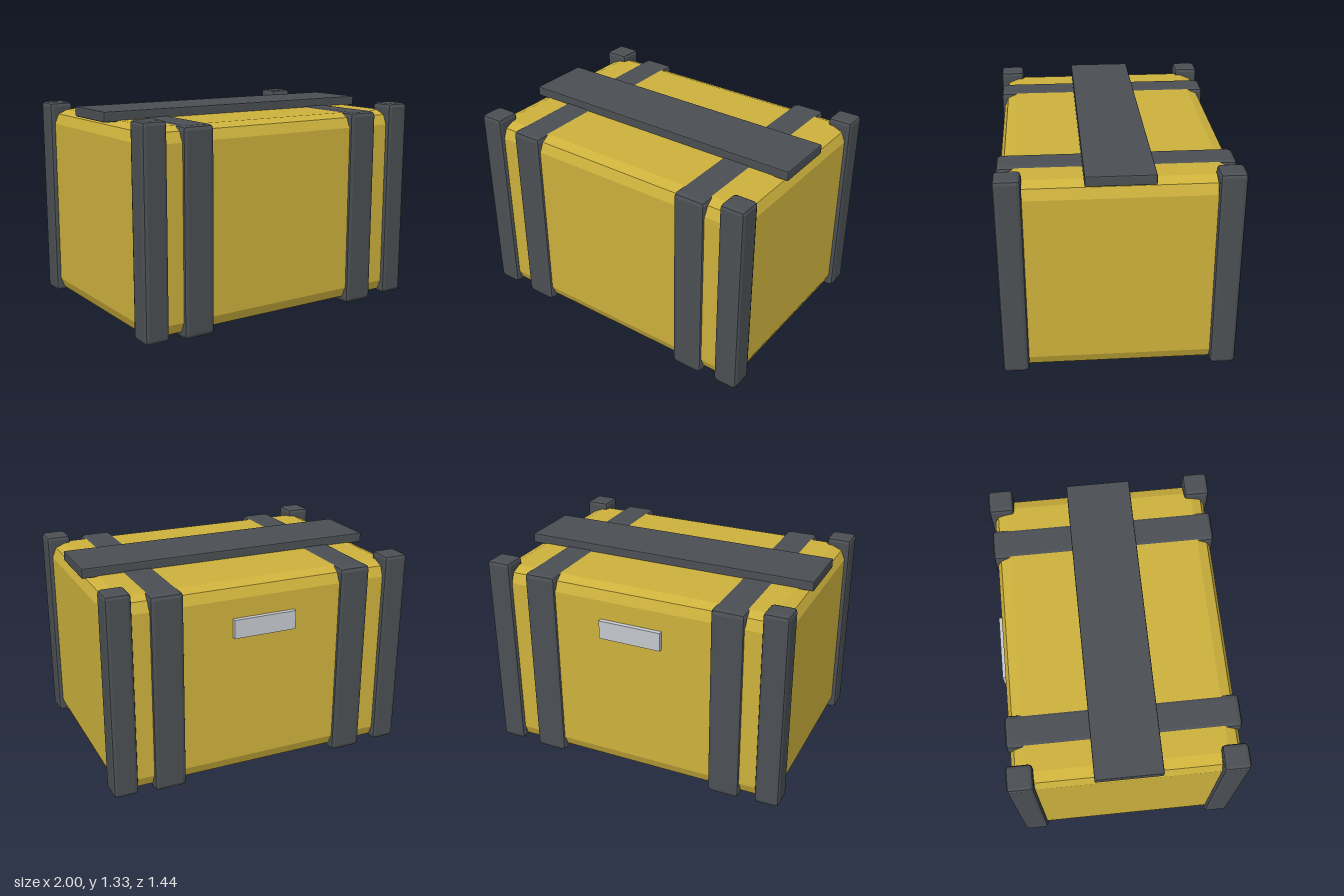
import * as THREE from 'three';
import { RoundedBoxGeometry } from 'three/addons/geometries/RoundedBoxGeometry.js';

const material = (name, color) => {
  const m = new THREE.MeshStandardMaterial({ color });
  m.name = name;
  return m;
};

// Faceted box given by its centre, size and edge bevel
function bevelBox(name, mat, [x, y, z], [w, h, d], bevel) {
  const geometry = new RoundedBoxGeometry(w, h, d, 1, bevel);
  geometry.computeVertexNormals(); // unindexed, so the facets stay flat
  geometry.clearGroups();
  const mesh = new THREE.Mesh(geometry, mat);
  mesh.name = name;
  mesh.position.set(x, y, z);
  return mesh;
}

export function createModel() {
  const yellow = material('yellow paint', 0xcdb13c);
  const dark = material('dark metal', 0x4b4f53);
  const silver = material('silver plate', 0xc4c8cd);

  const crate = new THREE.Group();
  crate.name = 'crate';

  // Main box
  crate.add(bevelBox('body', yellow, [0, 0.645, 0], [1.94, 1.255, 1.386], 0.09));

  for (const side of [1, -1]) {
    const label = side > 0 ? 'left' : 'right';
    // Strap wrapping all the way round the body
    crate.add(bevelBox(`${label}Strap`, dark, [side * 0.627, 0.639, 0], [0.212, 1.278, 1.424], 0.028));
    // Corner posts
    for (const end of [1, -1]) {
      const name = `${label}${end > 0 ? 'Front' : 'Back'}Post`;
      crate.add(bevelBox(name, dark, [side * 0.92, 0.67, end * 0.64], [0.16, 1.3, 0.16], 0.024));
    }
  }

  // Flat bar across the lid
  crate.add(bevelBox('topBar', dark, [0, 1.296, 0], [1.964, 0.064, 0.412], 0.008));

  // Small plate on the back
  const plate = new THREE.Mesh(new THREE.BoxGeometry(0.412, 0.12, 0.04), silver);
  plate.name = 'backPlate';
  plate.position.set(0, 1.0, -0.703);
  crate.add(plate);

  return crate;
}
